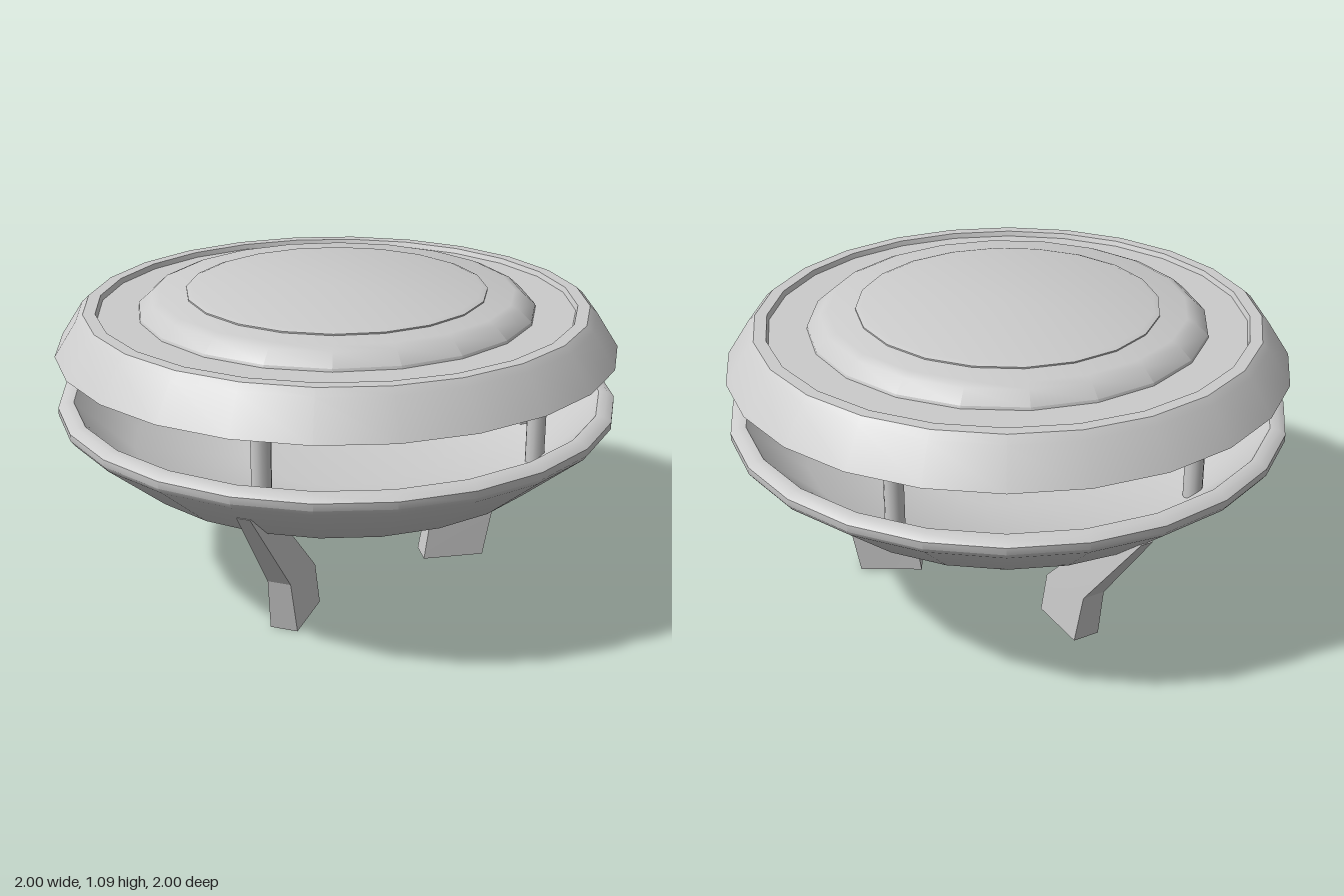
import * as THREE from 'three';
import { toCreasedNormals } from 'three/addons/utils/BufferGeometryUtils.js';

const material = new THREE.MeshStandardMaterial({ color: 0xcccccc });

function addMesh(parent, name, geometry) {
  const mesh = new THREE.Mesh(geometry, material);
  mesh.name = name;
  parent.add(mesh);
  return mesh;
}

// Turned part from a profile of [radius, height], running up the outside
function turned(profile, sides) {
  const points = profile.map(([r, y]) => new THREE.Vector2(r, y));
  return toCreasedNormals(new THREE.LatheGeometry(points, sides), 0.65);
}

// Bent leg: a box reshaped through three stations, pointing along +z
function legGeometry() {
  const stations = [
    { inner: [0.33, 0], outer: [0.56, 0], half: 0.05 },
    { inner: [0.355, 0.16], outer: [0.6, 0.2], half: 0.042 },
    { inner: [0.72, 0.54], outer: [0.9, 0.575], half: 0.023 },
  ];
  const geometry = new THREE.BoxGeometry(1, 2, 1, 1, 2, 1);
  const p = geometry.attributes.position;
  for (let i = 0; i < p.count; i++) {
    const s = stations[Math.round(p.getY(i) + 1)];
    const [r, y] = p.getZ(i) > 0 ? s.outer : s.inner;
    p.setXYZ(i, Math.sign(p.getX(i)) * s.half, y, r);
  }
  return toCreasedNormals(geometry, 0.1);
}

export function createModel() {
  const model = new THREE.Group();
  model.name = 'saucer';

  // Hollow lower dish with a rolled rim
  addMesh(model, 'lowerDish', turned([
    [0, 0.41], [0.34, 0.413], [0.71, 0.453], [0.77, 0.468], [0.985, 0.65],
    [1, 0.67], [1, 0.695], [0.975, 0.713], [0.945, 0.713],
    [0.925, 0.69], [0.74, 0.52], [0.34, 0.46], [0, 0.455],
  ], 24));

  // Roof ring with a sloped outer wall and a shallow recess on top
  addMesh(model, 'roof', turned([
    [0, 0.91], [0.84, 0.91], [0.85, 0.886], [1, 0.886], [0.92, 1.01],
    [0.895, 1.033], [0.852, 1.033], [0.845, 1.015], [0, 1.015],
  ], 24));

  // Raised cap and the thin hatch on it
  addMesh(model, 'roofCap', turned([
    [0.71, 1.0], [0.705, 1.025], [0.66, 1.065], [0.63, 1.078], [0, 1.078],
  ], 20));
  addMesh(model, 'hatch', turned([
    [0.535, 1.07], [0.535, 1.083], [0.515, 1.09], [0, 1.09],
  ], 20));

  // Drum under the belly
  addMesh(model, 'bellyDrum', turned([
    [0, 0.337], [0.333, 0.337], [0.333, 0.43],
  ], 12));

  // Posts carrying the roof
  const postGeometry = new THREE.CylinderGeometry(0.034, 0.034, 0.41, 12);
  for (let i = 0; i < 4; i++) {
    const a = (i * Math.PI) / 2;
    addMesh(model, 'roofPost', postGeometry)
      .position.set(0.74 * Math.sin(a), 0.705, 0.74 * Math.cos(a));
  }

  // Three landing legs, one facing the front
  const leg = legGeometry();
  for (let i = 0; i < 3; i++) {
    addMesh(model, 'landingLeg', leg).rotation.y = (i * Math.PI * 2) / 3;
  }

  return model;
}
